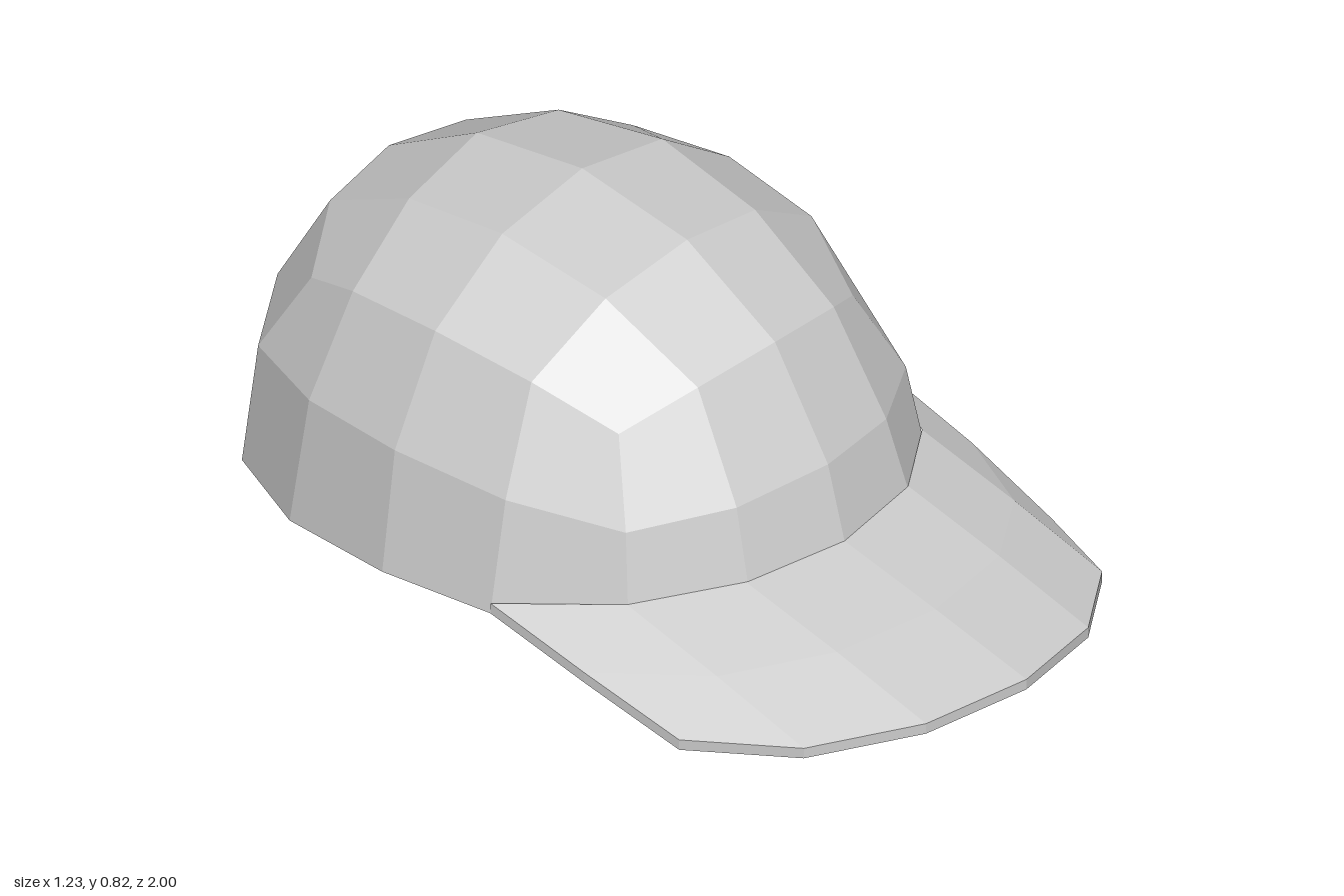
import * as THREE from 'three';

const material = new THREE.MeshStandardMaterial({ color: 0xcccccc, side: THREE.DoubleSide });

// Collects faces into one mesh with a single flat normal per face
function makeMesh(name, build) {
  const pos = [], normals = [];
  const quad = (...p) => {
    const [a, b, c, d] = p.map((q) => new THREE.Vector3(...q));
    const n = c.sub(a).cross(d.sub(b)).normalize().toArray();
    pos.push(...p[0], ...p[1], ...p[2], ...p[0], ...p[2], ...p[3]);
    for (let k = 0; k < 6; k++) normals.push(...n);
  };
  const tri = (a, b, c) => {
    const [u, v, w] = [a, b, c].map((q) => new THREE.Vector3(...q));
    const n = v.sub(u).cross(w.sub(u)).normalize().toArray();
    pos.push(...a, ...b, ...c);
    for (let k = 0; k < 3; k++) normals.push(...n);
  };
  build(tri, quad);
  const geometry = new THREE.BufferGeometry();
  geometry.setAttribute('position', new THREE.Float32BufferAttribute(pos, 3));
  geometry.setAttribute('normal', new THREE.Float32BufferAttribute(normals, 3));
  const mesh = new THREE.Mesh(geometry, material);
  mesh.name = name;
  return mesh;
}

// Rounded cube face: [larger offset, smaller offset, depth] by grid index
const ROUND = {
  '00': [0, 0, 1], '10': [0.4, 0, 0.937], '11': [0.374, 0.374, 0.874],
  '20': [0.735, 0, 0.735], '21': [0.7, 0.34, 0.7], '22': [0.585, 0.585, 0.585],
};
function facePoint(i, j) {
  const p = Math.abs(i), q = Math.abs(j);
  const [big, small, depth] = ROUND[`${Math.max(p, q)}${Math.min(p, q)}`];
  return [Math.sign(i) * (p >= q ? big : small), Math.sign(j) * (p >= q ? small : big), depth];
}

// Height of the crown's lower edge along z
const RIM = [[-1, 0.045], [-0.27, 0.105], [0.03, 0.13], [0.28, 0.18], [0.48, 0.22]];
function rimHeight(z) {
  for (let k = 1; k < RIM.length; k++) {
    const [z0, y0] = RIM[k - 1], [z1, y1] = RIM[k];
    if (z <= z1) return y0 + (y1 - y0) * Math.max(0, z - z0) / (z1 - z0);
  }
  return RIM[RIM.length - 1][1];
}

// Point (i, j) on dome side k, turned about y; k = 4 is the top
function crownPoint(k, i, j) {
  const [a, b, c] = facePoint(i, j);
  const [x, y, z] = [[a, b, c], [c, b, -a], [-a, b, -c], [-c, b, a], [a, c, -b]][k];
  const rim = y < 0.01;
  const wide = rim && z > 0.3 && z < 0.5 ? 1.05 : 1;
  const cz = Math.max(-1, -0.27 + z * (z > 0 ? 0.75 : 0.752));
  return [x * 0.617 * wide, rim ? rimHeight(cz) : 0.105 + y * 0.715, cz];
}

const flip = ([x, y, z]) => [-x, y, z];

// Head opening, round from the front's right corner, and the shallow roof above it
const OPENING = [
  [-0.37, 0.175, 0], [0, 0.165, 0.14], [0.37, 0.175, 0], [0.45, 0.15, -0.33],
  [0.37, 0.16, -0.67], [0, 0.15, -0.84], [-0.37, 0.16, -0.67], [-0.45, 0.15, -0.33],
];
const ROOF = [[-0.32, 0.39, 0.02], [0.32, 0.39, 0.02], [0.3, 0.46, -0.58], [-0.3, 0.46, -0.58]];
const APEX = [0, 0.62, -0.27];

function crown(tri, quad) {
  for (let k = 0; k < 5; k++) {
    for (let i = -2; i < 2; i++) {
      for (let j = k === 4 ? -2 : 0; j < 2; j++) {
        quad(crownPoint(k, i, j), crownPoint(k, i + 1, j), crownPoint(k, i + 1, j + 1), crownPoint(k, i, j + 1));
      }
    }
  }
}

function lining(tri, quad) {
  for (let k = 0; k < 4; k++) {
    const [a, m, b] = [0, 1, 2].map((n) => OPENING[(2 * k + n) % 8]);
    const outer = [-2, -1, 0, 1, 2].map((i) => crownPoint(k, i, 0));
    // Sloping band from the crown's edge in to the opening
    quad(outer[1], outer[0], a, m);
    tri(outer[2], outer[1], m);
    tri(outer[3], outer[2], m);
    quad(outer[4], outer[3], m, b);
    // Hollow wall and roof
    const ra = ROOF[k], rb = ROOF[(k + 1) % 4];
    tri(m, a, ra);
    tri(m, ra, rb);
    tri(b, m, rb);
    tri(rb, ra, APEX);
  }
}

function brim(tri, quad) {
  // Centre to side: seam on the crown, middle, upper edge and lower edge
  const seam = [[0, 0.22, 0.48], [0.25, 0.215, 0.43], [0.455, 0.19, 0.28], [0.607, 0.155, 0.03]];
  const middle = [[0, 0.165, 0.74], [0.25, 0.156, 0.69], [0.458, 0.128, 0.54], [0.598, 0.093, 0.29]];
  const upper = [[0, 0.105, 1], [0.25, 0.09, 0.945], [0.46, 0.06, 0.79], [0.575, 0.025, 0.54]];
  const lower = [[0, 0.08, 1], [0.25, 0.065, 0.945], [0.46, 0.035, 0.79], [0.575, 0, 0.54]];
  const flank = [0.598, 0.068, 0.29], corner = [0.607, 0.13, 0.03];
  const [, innerMid, innerSide] = OPENING;

  // Top surface, edge and the underside's inner corners, mirrored
  for (const side of [1, -1]) {
    const face = (...p) => quad(...(side > 0 ? p : p.map(flip).reverse()));
    for (let k = 0; k < 3; k++) {
      face(seam[k], middle[k], middle[k + 1], seam[k + 1]);
      face(middle[k], upper[k], upper[k + 1], middle[k + 1]);
      face(upper[k], lower[k], lower[k + 1], upper[k + 1]);
    }
    face(upper[3], lower[3], flank, middle[3]);
    face(middle[3], flank, corner, seam[3]);
    face(flank, innerMid, innerSide, corner);
  }

  // Underside in bands running straight across
  const bands = [...lower, flank];
  tri(lower[0], flip(lower[1]), lower[1]);
  for (let k = 1; k < 4; k++) {
    quad(flip(bands[k]), flip(bands[k + 1]), bands[k + 1], bands[k]);
  }
  tri(flip(flank), innerMid, flank);
}

export function createModel() {
  const cap = new THREE.Group();
  cap.name = 'cap';
  cap.add(makeMesh('crown', crown), makeMesh('lining', lining), makeMesh('brim', brim));
  return cap;
}
